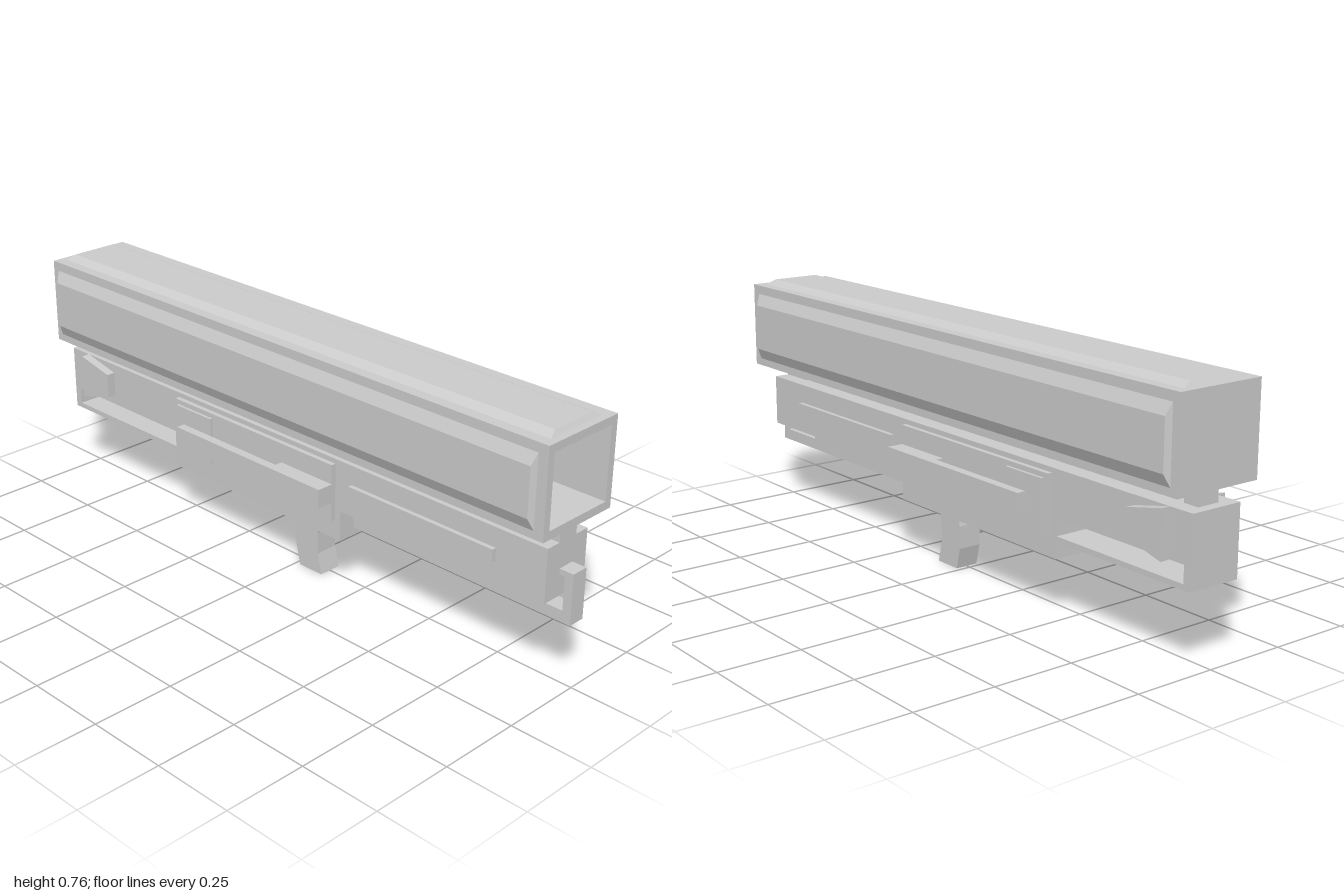
import * as THREE from 'three';

const material = new THREE.MeshStandardMaterial({ color: 0xcccccc, flatShading: true });

export function createModel() {
  const group = new THREE.Group();

  const add = (name, geometry) => {
    const mesh = new THREE.Mesh(geometry, material);
    mesh.name = name;
    group.add(mesh);
    return mesh;
  };

  // Box given by its limits on each axis
  const box = (name, x0, x1, y0, y1, z0, z1) =>
    add(name, new THREE.BoxGeometry(x1 - x0, y1 - y0, z1 - z0)
      .translate((x0 + x1) / 2, (y0 + y1) / 2, (z0 + z1) / 2));

  const path = (points, Type = THREE.Shape) =>
    new Type(points.map(([a, b]) => new THREE.Vector2(a, b)));

  // Side profile of [z, y] points extruded from x0 to x1
  const profile = (name, points, x0, x1, hole) => {
    const shape = path(points);
    if (hole) shape.holes.push(path(hole, THREE.Path));
    const geometry = new THREE.ExtrudeGeometry(shape, { depth: x1 - x0, bevelEnabled: false });
    return add(name, geometry.rotateY(-Math.PI / 2).translate(x1, 0, 0));
  };

  // Raised panel lying on y = 0, its upper face inset on all sides
  const raisedPanel = (width, height, length, insetX, insetZ) => {
    const geometry = new THREE.BoxGeometry(width, height, length).translate(0, height / 2, 0);
    const p = geometry.attributes.position;
    for (let i = 0; i < p.count; i++) {
      if (p.getY(i) < height / 2) continue;
      p.setX(i, p.getX(i) - Math.sign(p.getX(i)) * insetX);
      p.setZ(i, p.getZ(i) - Math.sign(p.getZ(i)) * insetZ);
    }
    geometry.computeVertexNormals();
    return geometry;
  };

  const rect = (x0, x1, y0, y1) => [[x0, y0], [x1, y0], [x1, y1], [x0, y1]];

  // Square launch tube, open at the front and closed at the back
  const tubeShape = path(rect(-0.14, 0.14, 0.477, 0.743));
  tubeShape.holes.push(path(rect(-0.117, 0.117, 0.502, 0.719), THREE.Path));
  add('tube', new THREE.ExtrudeGeometry(tubeShape, { depth: 1.95, bevelEnabled: false })
    .translate(0, 0, -0.97));
  box('tubeBackWall', -0.14, 0.14, 0.477, 0.743, -1, -0.97);
  add('tubeTopPanel', raisedPanel(0.21, 0.014, 1.935, 0.028, 0.01).translate(0, 0.743, -0.01));

  // Posts joining tube and body
  box('frontPost', -0.035, 0.035, 0.425, 0.48, 0.84, 0.955);
  box('rearPost', -0.035, 0.035, 0.425, 0.48, -0.97, -0.92);

  // Body with the open rear frame
  profile('body', [
    [0.955, 0.43], [-1, 0.43], [-1, 0.225], [-0.49, 0.225], [-0.49, 0.175],
    [0.225, 0.175], [0.225, 0.27], [0.955, 0.27],
  ], -0.083, 0.083, rect(-0.975, -0.492, 0.241, 0.292));

  // Narrow rail below the front of the body, ending in a hook
  profile('frontHook', [
    [0.225, 0.2], [1, 0.2], [1, 0.352], [0.955, 0.352], [0.955, 0.335], [0.973, 0.335],
    [0.973, 0.235], [0.81, 0.235], [0.81, 0.27], [0.25, 0.27], [0.25, 0.235], [0.225, 0.235],
  ], -0.027, 0.027);

  // Curved trigger grip
  profile('grip', [
    [0.105, 0.176], [0.09, 0.135], [0.09, 0.065], [0.105, 0],
    [0.015, 0], [0, 0.065], [0, 0.135], [0.01, 0.176],
  ], -0.037, 0.037);

  // Fittings on both sides
  for (const side of [1, -1]) {
    const sided = (x0, x1) => (side > 0 ? [x0, x1] : [-x1, -x0]);
    const sideBox = (name, x0, x1, ...rest) => box(name, ...sided(x0, x1), ...rest);

    add('tubeSidePanel', raisedPanel(0.215, 0.016, 1.925, 0.035, 0.01)
      .rotateZ(-side * Math.PI / 2).translate(side * 0.14, 0.6075, -0.0135));
    sideBox('sideRib', 0.083, 0.097, 0.333, 0.37, 0.27, 0.79);
    sideBox('sidePlate', 0.083, 0.098, 0.237, 0.415, -0.47, 0.205);
    sideBox('rearPad', 0.098, 0.107, 0.25, 0.4, -0.455, -0.3);
    // Handle bar standing off the plate behind its mount
    sideBox('handleMount', 0.098, 0.122, 0.297, 0.355, 0, 0.205);
    sideBox('handleBar', 0.122, 0.15, 0.297, 0.355, -0.405, 0.205);
    // Tapered lug near the back
    profile('rearLug', [[-0.79, 0.325], [-0.79, 0.402], [-0.92, 0.43], [-0.92, 0.29]],
      ...sided(0.083, 0.111));
  }

  return group;
}
